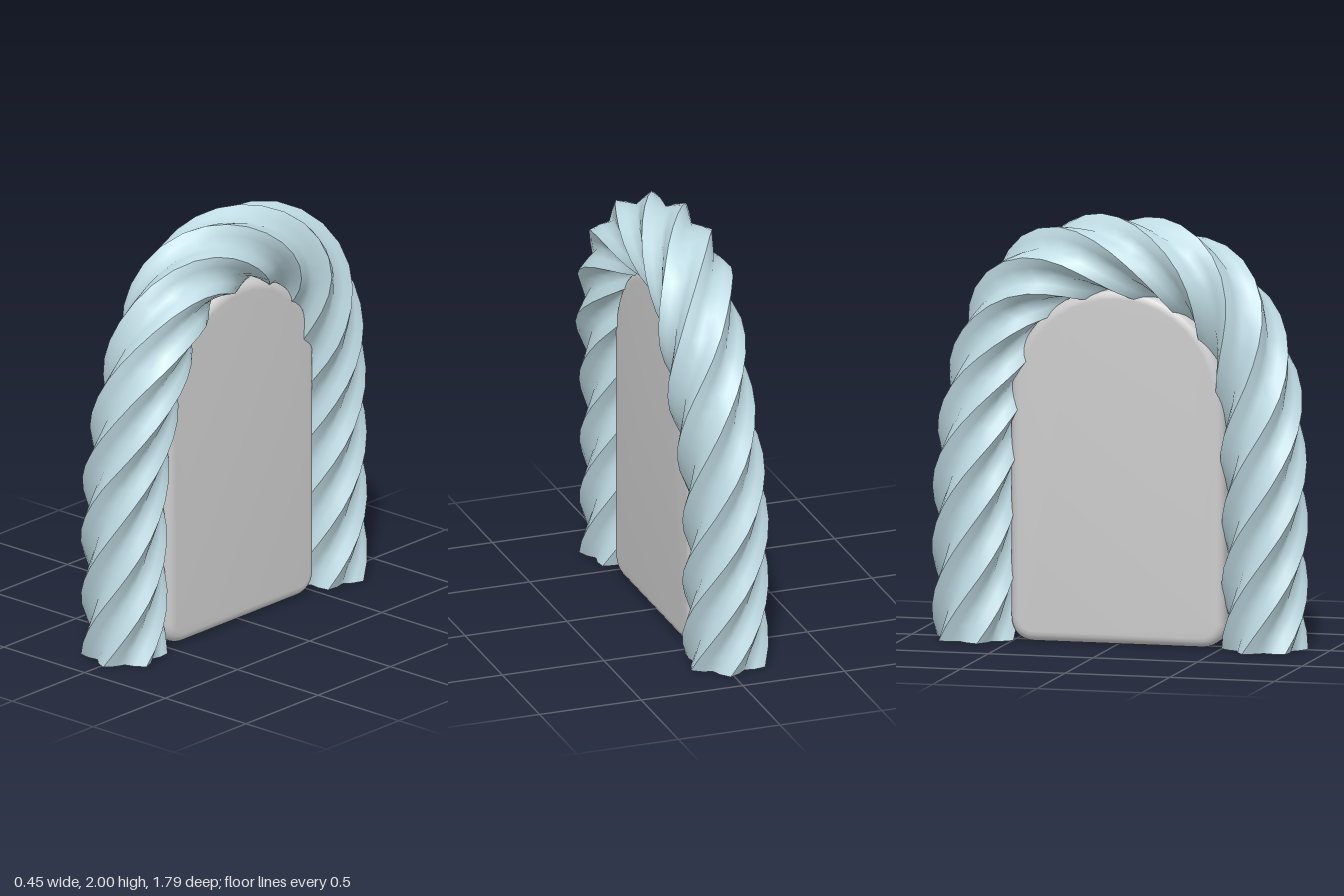
import * as THREE from 'three';
import { toCreasedNormals } from 'three/addons/utils/BufferGeometryUtils.js';

// Centre line of the arch: front leg up, over the top, back leg down,
// with a slight sideways sway
const centreLine = new THREE.CatmullRomCurve3([
  [-0.027, 0, 0.695], [-0.027, 0.3, 0.695], [-0.025, 0.85, 0.69], [0.015, 1.28, 0.635],
  [0.022, 1.6, 0.49], [0, 1.75, 0.3], [-0.01, 1.805, 0], [0, 1.75, -0.3],
  [0.022, 1.6, -0.485], [0.015, 1.28, -0.615], [-0.025, 0.85, -0.68],
  [-0.027, 0.3, -0.69], [-0.027, 0, -0.69],
].map((p) => new THREE.Vector3(...p)));

// Star-shaped section swept along the arch while it twists;
// each lobe is its own strip, so the ridges stay sharp and the grooves soft
function twistedArch() {
  const LOBES = 6, TURNS = 2.5, STEPS = 56, COLS = 4;
  const RIDGE = 0.2, GROOVE = 0.145, PHASE = -1.87;
  const positions = [], index = [];

  for (let lobe = 0; lobe < LOBES; lobe++) {
    const start = positions.length / 3;
    for (let i = 0; i <= STEPS; i++) {
      const t = i / STEPS;
      const p = centreLine.getPointAt(t), tan = centreLine.getTangentAt(t);
      // outward direction of the bend, in the plane of the arch
      const n = new THREE.Vector2(tan.y, -tan.z).normalize();
      const twist = PHASE + t * TURNS * Math.PI * 2;
      for (let c = 0; c <= COLS; c++) {
        const u = c / COLS;
        const a = twist + ((lobe + u) / LOBES) * Math.PI * 2;
        const r = THREE.MathUtils.lerp(GROOVE, RIDGE, Math.abs(2 * u - 1));
        const out = r * Math.cos(a);
        positions.push(p.x + r * Math.sin(a), Math.max(0, p.y + n.y * out), p.z + n.x * out);
      }
    }
    const row = COLS + 1;
    for (let i = 0; i < STEPS; i++) {
      for (let c = 0; c < COLS; c++) {
        const a = start + i * row + c, b = a + row;
        index.push(a, a + 1, b, a + 1, b + 1, b);
      }
    }
  }
  const geo = new THREE.BufferGeometry();
  geo.setAttribute('position', new THREE.Float32BufferAttribute(positions, 3));
  geo.setIndex(index);
  geo.computeVertexNormals();
  return geo;
}

// Round-topped slab with softened edges, standing inside the arch
function slab() {
  const bevel = 0.045, w = 0.51 - bevel, corner = 0.07, spring = 1.16, thick = 0.17;
  const s = new THREE.Shape();
  s.moveTo(-w + corner, bevel);
  s.lineTo(w - corner, bevel);
  s.quadraticCurveTo(w, bevel, w, bevel + corner);
  s.lineTo(w, spring);
  s.absellipse(0, spring, w, 0.455, 0, Math.PI, false, 0);
  s.lineTo(-w, bevel + corner);
  s.quadraticCurveTo(-w, bevel, -w + corner, bevel);
  const geo = new THREE.ExtrudeGeometry(s, {
    depth: thick - 2 * bevel, bevelEnabled: true, bevelSize: bevel,
    bevelThickness: bevel, bevelSegments: 5, curveSegments: 20,
  });
  geo.translate(0, 0, -(thick / 2 - bevel));
  geo.rotateY(Math.PI / 2);
  return toCreasedNormals(geo, 0.6);
}

export function createModel() {
  const group = new THREE.Group();
  group.name = 'twistedArchway';

  const arch = new THREE.Mesh(twistedArch(),
    new THREE.MeshStandardMaterial({ color: 0xbfdbe3, side: THREE.DoubleSide }));
  arch.name = 'twistedArch';

  const panel = new THREE.Mesh(slab(), new THREE.MeshStandardMaterial({ color: 0xcccccc }));
  panel.name = 'innerPanel';

  group.add(arch, panel);
  return group;
}
